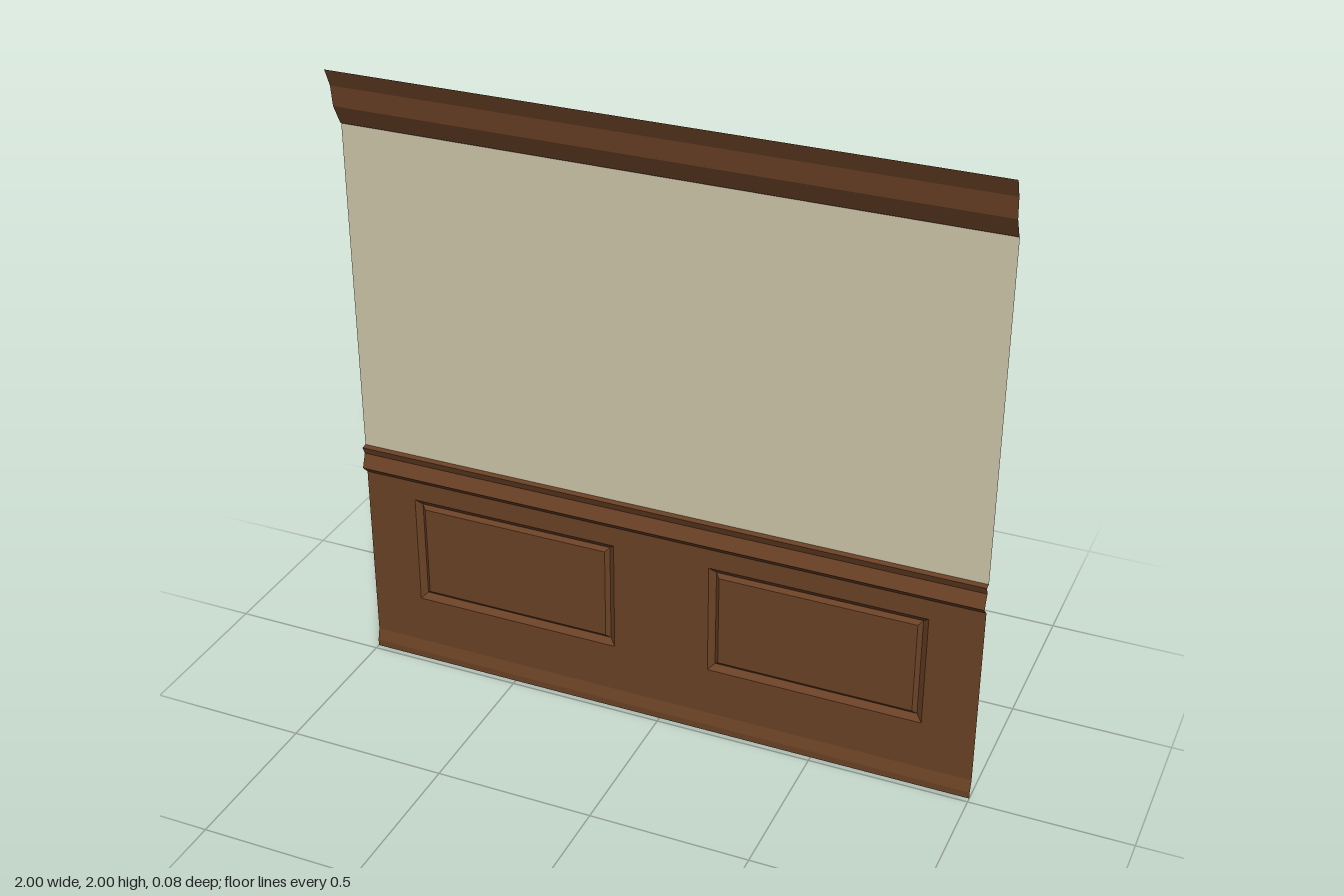
import * as THREE from 'three';

const WALL_Z = -0.027;

// Flat-shaded surface from four-cornered faces (corners counter-clockwise from the front)
function quadGeometry(quads) {
  const points = [];
  for (const [a, b, c, d] of quads) points.push(...a, ...b, ...c, ...a, ...c, ...d);
  const geometry = new THREE.BufferGeometry();
  geometry.setAttribute('position', new THREE.Float32BufferAttribute(points, 3));
  geometry.computeVertexNormals();
  return geometry;
}

// Moulding: a [y, z] profile listed from top to bottom, run along the wall
function moulding(profile) {
  const quads = [];
  for (let i = 0; i < profile.length - 1; i++) {
    const [y0, z0] = profile[i];
    const [y1, z1] = profile[i + 1];
    quads.push([[-1, y0, z0], [-1, y1, z1], [1, y1, z1], [1, y0, z0]]);
  }
  return quadGeometry(quads);
}

// Corners of a panel rectangle, inset from its outer edge
const PANEL = { x: 0.495, y: 0.406, halfWidth: 0.34, halfHeight: 0.184 };
function panelCorners(centreX, inset, z) {
  const w = PANEL.halfWidth - inset;
  const h = PANEL.halfHeight - inset;
  return [[-1, -1], [1, -1], [1, 1], [-1, 1]].map(([sx, sy]) => [centreX + sx * w, PANEL.y + sy * h, z]);
}

// Panel: sloped groove around a flat field
function panel(centreX) {
  const rings = [[0, WALL_Z], [0.019, -0.042], [0.032, -0.031]].map(([inset, z]) => panelCorners(centreX, inset, z));
  const quads = [];
  for (let r = 0; r < rings.length - 1; r++) {
    for (let k = 0; k < 4; k++) {
      const n = (k + 1) % 4;
      quads.push([rings[r][k], rings[r][n], rings[r + 1][n], rings[r + 1][k]]);
    }
  }
  quads.push(rings[rings.length - 1]);
  return quadGeometry(quads);
}

export function createModel() {
  const group = new THREE.Group();
  group.name = 'panelledWall';

  const wood = new THREE.MeshStandardMaterial({ color: 0x6b4226, side: THREE.DoubleSide });
  wood.name = 'brown wood';
  const plaster = new THREE.MeshStandardMaterial({ color: 0xcfc6aa, side: THREE.DoubleSide });
  plaster.name = 'beige plaster';

  function add(name, geometry, material) {
    const mesh = new THREE.Mesh(geometry, material);
    mesh.name = name;
    group.add(mesh);
  }

  // Crown moulding leaning forward at the top
  add('crownMoulding', moulding([
    [2, 0.042], [1.945, 0.018], [1.88, 0.01], [1.82, -0.021], [1.815, WALL_Z],
  ]), wood);

  // Plain upper wall
  add('upperWall', moulding([[1.815, WALL_Z], [0.752, WALL_Z]]), plaster);

  // Chair rail with an undercut lip and a rounded belly
  add('chairRail', moulding([
    [0.752, WALL_Z], [0.75, -0.008], [0.725, -0.019], [0.68, -0.002], [0.655, WALL_Z],
  ]), wood);

  // Wainscot board with openings for the panels
  const board = new THREE.Shape([[-1, 0.06], [1, 0.06], [1, 0.655], [-1, 0.655]].map((p) => new THREE.Vector2(...p)));
  for (const side of [-1, 1]) {
    const corners = panelCorners(side * PANEL.x, 0, 0);
    board.holes.push(new THREE.Path(corners.map(([x, y]) => new THREE.Vector2(x, y))));
  }
  add('wainscot', new THREE.ShapeGeometry(board).translate(0, 0, WALL_Z), wood);

  // Recessed panels
  add('leftPanel', panel(PANEL.x), wood);
  add('rightPanel', panel(-PANEL.x), wood);

  // Baseboard
  add('baseboard', moulding([[0.06, WALL_Z], [0.022, -0.017], [0, -0.017]]), wood);

  return group;
}
